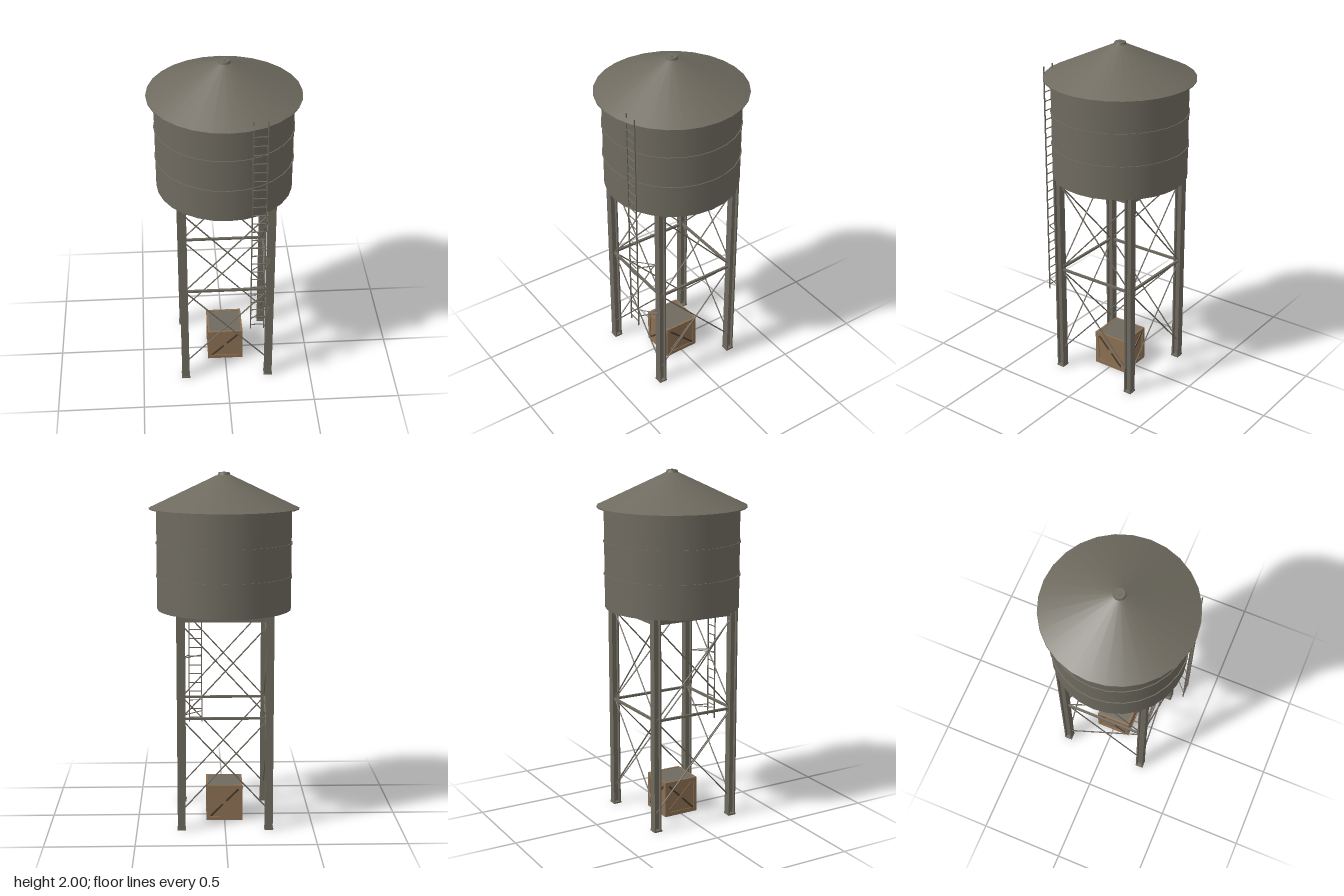
import * as THREE from 'three';

export function createModel() {
  const root = new THREE.Group();
  const mat = (name, color) => {
    const m = new THREE.MeshStandardMaterial({ color });
    m.name = name;
    return m;
  };
  const steel = mat('weathered steel', 0x6e6a5f);
  const wood = mat('crate wood', 0x8b6f53);
  const darkWood = mat('dark wood', 0x4a3b2c);
  const pale = mat('pale grey', 0x9c988d);

  const add = (name, geo, material, x = 0, y = 0, z = 0, parent = root) => {
    const m = new THREE.Mesh(geo, material);
    m.name = name;
    m.position.set(x, y, z);
    parent.add(m);
    return m;
  };
  const box = (name, w, h, d, material, x, y, z, parent) =>
    add(name, new THREE.BoxGeometry(w, h, d), material, x, y, z, parent);
  // Round steel rod between two points
  const rod = (name, a, b, r, parent) => {
    const p = new THREE.Vector3(...a), q = new THREE.Vector3(...b);
    const dir = q.clone().sub(p);
    const m = add(name, new THREE.CylinderGeometry(r, r, dir.length(), 6), steel, 0, 0, 0, parent);
    m.position.copy(p).add(q).multiplyScalar(0.5);
    m.quaternion.setFromUnitVectors(new THREE.Vector3(0, 1, 0), dir.normalize());
  };

  // Tank and its hoops
  const SEG = 28;
  add('tank', new THREE.CylinderGeometry(0.38, 0.38, 0.567, SEG), steel, 0, 1.5145, 0);
  for (const y of [1.42, 1.605, 1.797])
    add('tankHoop', new THREE.CylinderGeometry(0.385, 0.385, 0.009, SEG), steel, 0, y, 0);

  // Conical roof with thin eave and vent cap
  add('roof', new THREE.CylinderGeometry(0.03, 0.42, 0.185, SEG), steel, 0, 1.8925, 0);
  add('roofEave', new THREE.CylinderGeometry(0.42, 0.42, 0.006, SEG), steel, 0, 1.798, 0);
  add('ventCap', new THREE.CylinderGeometry(0.03, 0.035, 0.015, 20), steel, 0, 1.9885, 0);
  add('ventKnob', new THREE.CylinderGeometry(0.009, 0.009, 0.004, 12), steel, 0, 1.998, 0);

  // H-section legs on base plates
  const L = 0.247;
  for (const sx of [-1, 1]) for (const sz of [-1, 1]) {
    const leg = new THREE.Group();
    leg.name = 'leg';
    leg.position.set(sx * L, 0, sz * L);
    root.add(leg);
    for (const s of [-1, 1]) box('legFlange', 0.044, 1.23, 0.008, steel, 0, 0.62, s * 0.018, leg);
    box('legWeb', 0.01, 1.23, 0.03, steel, 0, 0.62, 0, leg);
    box('basePlate', 0.05, 0.01, 0.048, steel, 0, 0.005, 0, leg);
  }

  // Beams below the tank: four around the edge and a cross
  for (const p of [-L, 0, L]) {
    box('crossBeam', 0.47, 0.037, 0.03, steel, 0, 1.2155, p);
    box('longBeam', 0.03, 0.037, 0.47, steel, p, 1.2155, 0);
  }

  // Struts and crossed tie rods on all four sides
  for (let i = 0; i < 4; i++) {
    const side = new THREE.Group();
    side.name = 'sideBracing';
    side.rotation.y = i * Math.PI / 2;
    root.add(side);
    box('strut', 2 * L, 0.013, 0.013, steel, 0, 0.65, L, side);
    for (const [lo, hi] of [[0.11, 0.65], [0.65, 1.19]]) for (const s of [-1, 1])
      rod('tieRod', [-s * L, lo, L + s * 0.003], [s * L, hi, L + s * 0.003], 0.004, side);
  }

  // Ladder
  const ladder = new THREE.Group();
  ladder.name = 'ladder';
  root.add(ladder);
  const LZ = 0.37, X0 = 0.127, X1 = 0.203;
  for (const x of [X0, X1]) {
    box('ladderRail', 0.006, 1.375, 0.006, steel, x, 1.1495, LZ, ladder);
    for (const y of [0.53, 0.88]) rod('ladderBracket', [x, y, LZ], [0.247, y, 0.262], 0.003, ladder);
  }
  for (let i = 0; i < 25; i++)
    rod('ladderRung', [X0, 0.49 + i * 0.0545, LZ], [X1, 0.49 + i * 0.0545, LZ], 0.003, ladder);

  // Crate: recessed wooden walls, frame and crossed boards
  const H = 0.21, W = 0.105;
  const crate = new THREE.Group();
  crate.name = 'crate';
  root.add(crate);
  for (let i = 0; i < 4; i++) {
    const wall = new THREE.Group();
    wall.name = 'crateSide';
    wall.rotation.y = i * Math.PI / 2;
    crate.add(wall);
    box('crateWall', 0.19, 0.19, 0.008, wood, 0, H / 2, W - 0.009, wall);
    for (const y of [0.0115, H - 0.0115]) box('crateRail', 2 * W, 0.023, 0.012, wood, 0, y, W - 0.006, wall);
    for (const x of [-1, 1]) box('cratePost', 0.022, H - 0.046, 0.012, wood, x * (W - 0.011), H / 2, W - 0.006, wall);
    const s = i % 2 ? -1 : 1;
    const turn = s * Math.PI / 4;
    box('crateBoard', 0.225, 0.02, 0.006, wood, 0, H / 2, W - 0.005, wall).rotation.z = -turn;
    for (const e of [-1, 1])
      box('crateSlat', 0.1, 0.011, 0.006, darkWood, e * 0.045, H / 2 + e * s * 0.045, W - 0.005, wall).rotation.z = turn;
  }
  box('crateLid', 0.186, 0.012, 0.186, steel, 0, H - 0.008, 0, crate);

  // Pale crate floor with a round steel outlet in it
  const floor = new THREE.Shape([[-1, -1], [1, -1], [1, 1], [-1, 1]].map(([x, y]) => new THREE.Vector2(x * 0.093, y * 0.093)));
  floor.holes.push(new THREE.Path().absarc(0, 0, 0.062, 0, Math.PI * 2, true));
  const floorGeo = new THREE.ExtrudeGeometry(floor, { depth: 0.04, bevelEnabled: false, curveSegments: 12 });
  floorGeo.rotateX(-Math.PI / 2);
  add('crateFloor', floorGeo, [pale, steel], 0, 0.002, 0, crate);
  add('outletCover', new THREE.CylinderGeometry(0.064, 0.064, 0.008, 24), steel, 0, 0.044, 0, crate);

  return root;
}
